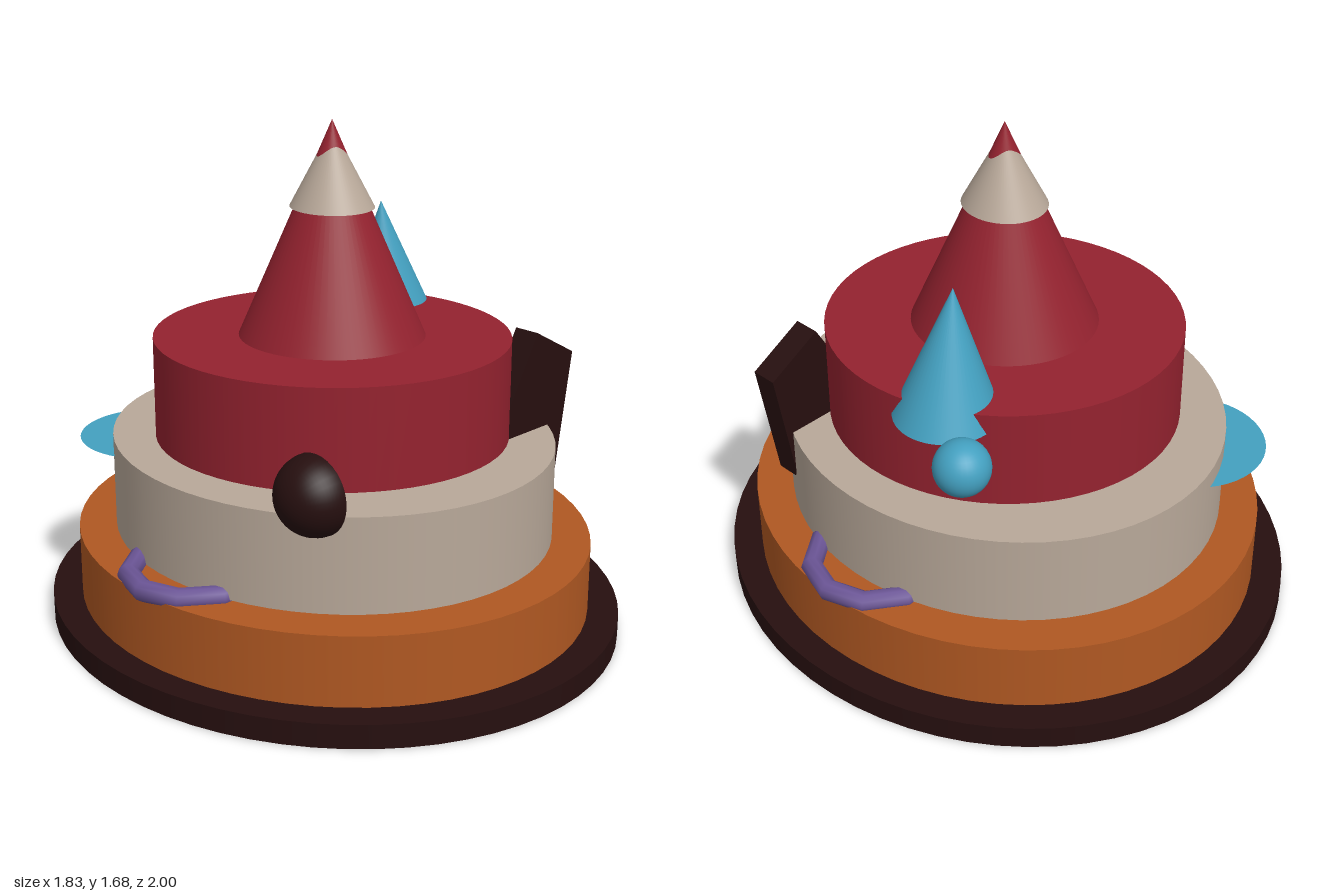
import * as THREE from 'three';

const flat = (name, color, side = THREE.FrontSide) => {
  const m = new THREE.MeshStandardMaterial({ color, side });
  m.name = name;
  return m;
};

export function createModel() {
  const group = new THREE.Group();
  const dark = flat('dark brown', 0x260f0f);
  const orange = flat('orange', 0xb05822);
  const cream = flat('cream', 0xb8a899);
  const red = flat('red', 0x94222f);
  const blue = flat('blue', 0x43a0c0, THREE.DoubleSide);
  const purple = flat('purple', 0x6b5596);

  const add = (name, geometry, material, x = 0, y = 0, z = 0) => {
    const mesh = new THREE.Mesh(geometry, material);
    mesh.name = name;
    mesh.position.set(x, y, z);
    group.add(mesh);
    return mesh;
  };

  // Elliptical drum or cone standing between two heights, turned about y
  const tier = (name, material, rx, rz, y0, y1, turn = 0, top = 1) => {
    const g = new THREE.CylinderGeometry(top, 1, y1 - y0, 64);
    g.scale(rx, 1, rz).rotateY(turn);
    return add(name, g, material, 0, (y0 + y1) / 2, 0);
  };

  // Stacked tiers
  tier('basePlate', dark, 0.915, 1.0, 0, 0.08);
  tier('lowerTier', orange, 0.82, 0.895, 0.08, 0.315);
  tier('middleTier', cream, 0.7, 0.763, 0.322, 0.638);
  tier('upperTier', red, 0.587, 0.546, 0.638, 0.975, -0.95);

  // Spire with a pale cap; the red tip pokes through
  tier('spire', red, 0.306, 0.284, 0.975, 1.68, -0.95, 0);
  tier('spireCap', cream, 0.132, 0.142, 1.4, 1.66, 0, 0);

  // Side handles: coarse flat rings half sunk in the tiers
  for (const side of [1, -1]) {
    const ring = new THREE.TorusGeometry(0.21, 0.035, 10, 10).rotateX(Math.PI / 2);
    if (side < 0) ring.rotateY(Math.PI);
    add(side > 0 ? 'leftHandle' : 'rightHandle', ring, purple, side * 0.606, 0.325, 0);
  }

  // Leaning blue cone and the ball beside it
  const cone = new THREE.ConeGeometry(0.168, 0.425, 48);
  const lean = new THREE.Matrix4().set(1, -0.11, 0, 0, 0, 1, 0, 0, 0, 0.02, 1, 0, 0, 0, 0, 1);
  cone.translate(0, 0.2125, 0).applyMatrix4(lean);
  add('leaningCone', cone, blue, 0.435, 0.905, -0.165);
  add('ball', new THREE.SphereGeometry(0.09, 32, 20), blue, 0.575, 0.88, -0.37);

  // Thin round ledge at the back
  add('backLedge', new THREE.CircleGeometry(0.248, 48).rotateX(-Math.PI / 2), blue, -0.327, 0.57, -0.54);

  // Half ball with its flat face toward the middle
  const dome = new THREE.SphereGeometry(0.128, 32, 16, 0, Math.PI * 2, 0, Math.PI / 2).rotateZ(Math.PI / 2);
  add('halfBall', dome, dark, -0.53, 0.7, 0.47);
  add('halfBallFace', new THREE.CircleGeometry(0.128, 32).rotateY(Math.PI / 2), dark, -0.53, 0.7, 0.47);

  // Angular slab cutting into the front of the tiers
  const outline = [[0.48, 0.975], [0.3, 0.66], [0.43, 0.3], [0.6, 0.45], [0.67, 0.87]];
  const shape = new THREE.Shape(outline.map(([x, y]) => new THREE.Vector2(x, y)));
  add('slab', new THREE.ExtrudeGeometry(shape, { depth: 0.09, bevelEnabled: false }), dark, 0, 0, 0.38);

  return group;
}
